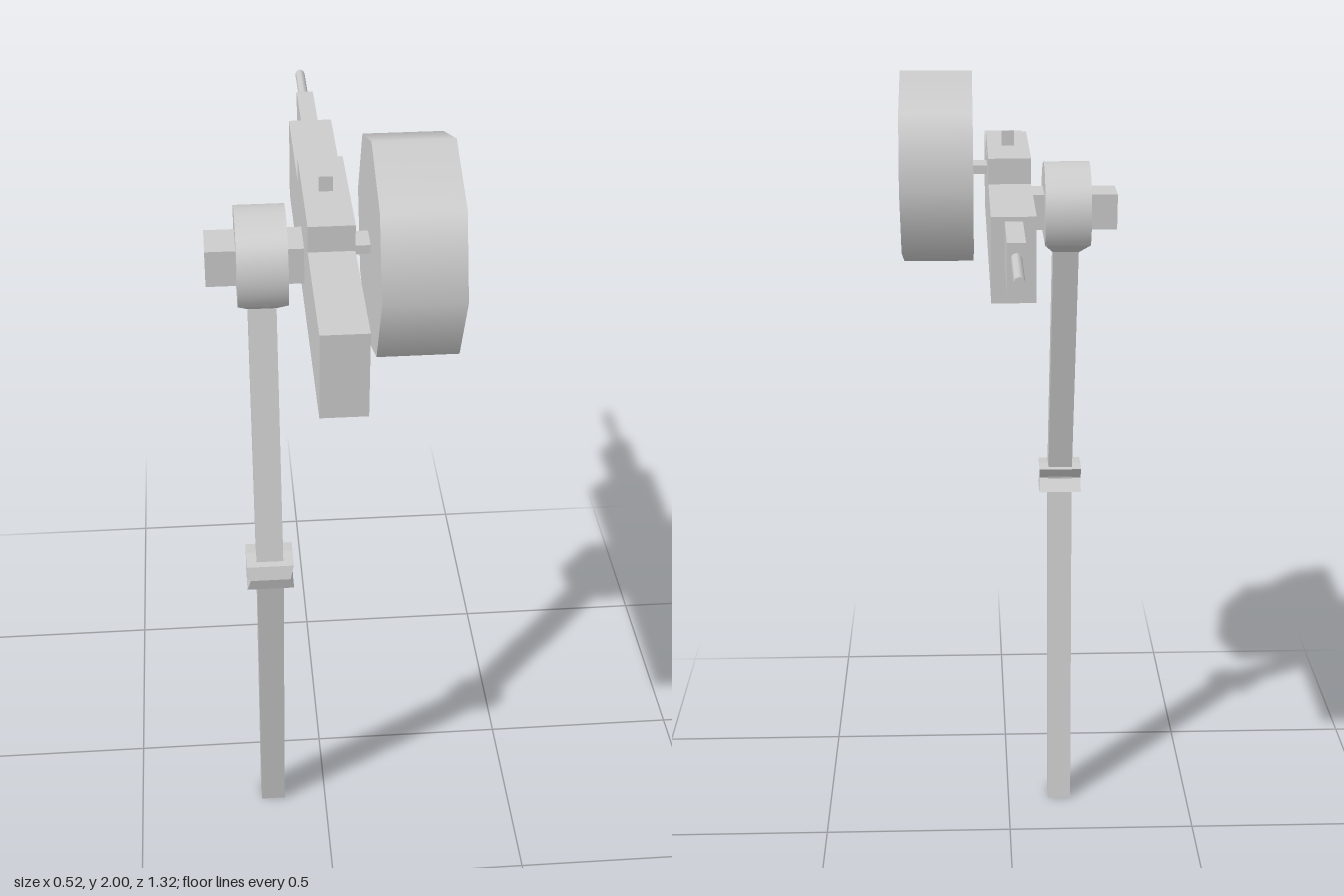
import * as THREE from 'three';
import { toCreasedNormals } from 'three/addons/utils/BufferGeometryUtils.js';

const grey = new THREE.MeshStandardMaterial({ color: 0xcccccc });
grey.name = 'plain grey';

// Box given by its extents along each axis
function block(name, [x0, x1], [y0, y1], [z0, z1]) {
  const g = new THREE.BoxGeometry(x1 - x0, y1 - y0, z1 - z0);
  g.translate((x0 + x1) / 2, (y0 + y1) / 2, (z0 + z1) / 2);
  return part(name, g);
}

function part(name, geometry) {
  const mesh = new THREE.Mesh(geometry, grey);
  mesh.name = name;
  return mesh;
}

// Four-sided beam between two level sections: { y, x: [min, max], z: [min, max] }
function beam(name, bottom, top) {
  const g = new THREE.BoxGeometry(1, 1, 1);
  const p = g.attributes.position;
  for (let i = 0; i < p.count; i++) {
    const s = p.getY(i) > 0 ? top : bottom;
    p.setXYZ(i, s.x[p.getX(i) > 0 ? 1 : 0], s.y, s.z[p.getZ(i) > 0 ? 1 : 0]);
  }
  g.computeVertexNormals();
  return part(name, g);
}

// Side profile (z, y) pushed across x
function sidePlate(shape, [x0, x1], curveSegments = 12) {
  const g = new THREE.ExtrudeGeometry(shape, { depth: x1 - x0, bevelEnabled: false, curveSegments });
  g.rotateY(-Math.PI / 2);
  g.translate(x1, 0, 0);
  return g;
}

// Eight-sided drum facing +x with a shallow recess in its outer face
function createDrum() {
  const drum = new THREE.Group();
  drum.name = 'drum';
  const R = 0.256, r = 0.164, width = 0.175, recess = 0.02;
  const tube = (radius, length, x, flip) => {
    const g = new THREE.CylinderGeometry(radius, radius, length, 8, 1, true);
    g.rotateZ(-Math.PI / 2);
    if (flip) {
      const idx = g.index.array;
      for (let i = 0; i < idx.length; i += 3) [idx[i], idx[i + 1]] = [idx[i + 1], idx[i]];
      g.computeVertexNormals();
    }
    return g.translate(x, 0, 0);
  };
  drum.add(
    part('drumWall', tube(R, width, width / 2, false)),
    part('drumRecessWall', tube(r, recess, width - recess / 2, true)),
    part('drumBack', new THREE.CircleGeometry(R, 8).rotateY(-Math.PI / 2)),
    part('drumRim', new THREE.RingGeometry(r, R, 8).rotateY(Math.PI / 2).translate(width, 0, 0)),
    part('drumRecessFace', new THREE.CircleGeometry(r, 8).rotateY(Math.PI / 2).translate(width - recess, 0, 0)),
  );
  drum.scale.y = 0.928;
  drum.position.set(0.085, 1.763, 0.28);
  return drum;
}

export function createModel() {
  const model = new THREE.Group();
  model.name = 'model';

  // Long body, stepped nose and thin rod
  model.add(
    block('body', [-0.05, 0.05], [1.585, 1.78], [-0.295, 0.66]),
    block('raisedCover', [-0.05, 0.05], [1.78, 1.84], [0.02, 0.337]),
    block('sight', [-0.015, 0.015], [1.84, 1.875], [0.172, 0.183]),
    block('nose', [-0.02, 0.02], [1.66, 1.77], [-0.478, -0.295]),
  );
  const rod = new THREE.CylinderGeometry(0.012, 0.012, 0.185, 8);
  rod.rotateX(Math.PI / 2).translate(0, 1.737, -0.568);
  model.add(part('rod', rod));

  // Side drum on its flat bracket
  model.add(block('drumBracket', [0.05, 0.085], [1.755, 1.776], [0.245, 0.308]), createDrum());

  // Shoulder: rounded housing, tapered neck and square axle
  const arch = new THREE.Shape();
  const dip = Math.asin(0.064 / 0.117);
  arch.absarc(0.177, 1.68, 0.117, -dip, Math.PI + dip, false);
  arch.closePath();
  const shoulderX = [-0.198, -0.087], legX = [-0.174, -0.111];
  model.add(
    part('shoulder', toCreasedNormals(sidePlate(arch, shoulderX, 24), 0.6)),
    beam('shoulderNeck',
      { y: 1.578, x: legX, z: [0.158, 0.222] },
      { y: 1.616, x: shoulderX, z: [0.079, 0.275] }),
    block('axle', [-0.265, -0.05], [1.642, 1.728], [0.13, 0.228]),
  );

  // Bent leg
  model.add(
    beam('upperLeg', { y: 0.92, x: legX, z: [0.293, 0.35] }, { y: 1.6, x: legX, z: [0.15, 0.213] }),
    beam('lowerLeg', { y: 0, x: legX, z: [0.153, 0.214] }, { y: 0.92, x: legX, z: [0.293, 0.352] }),
  );

  // Knee collar bent with the leg, narrower along its front edge
  const kneeShape = new THREE.Shape([
    [0.272, 0.953], [0.295, 0.92], [0.272, 0.887], [0.31, 0.882],
    [0.36, 0.885], [0.37, 0.92], [0.36, 0.953], [0.31, 0.957],
  ].map(([z, y]) => new THREE.Vector2(z, y)));
  const knee = sidePlate(kneeShape, shoulderX);
  const p = knee.attributes.position;
  for (let i = 0; i < p.count; i++) {
    if (p.getZ(i) > 0.365) p.setX(i, -0.1425 + (p.getX(i) + 0.1425) * 0.85);
  }
  knee.computeVertexNormals();
  model.add(part('knee', knee));

  return model;
}
